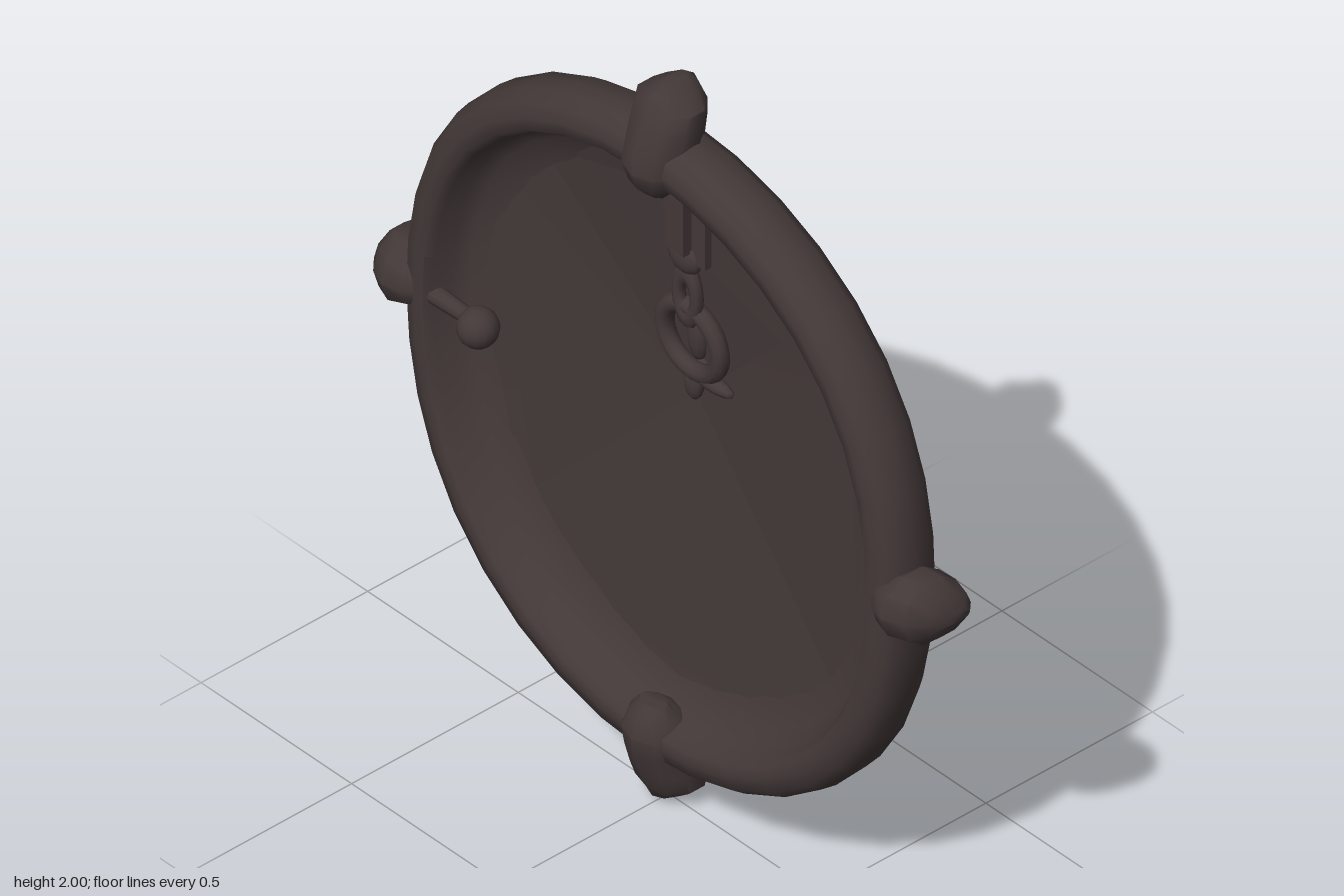
import * as THREE from 'three';
import { toCreasedNormals } from 'three/addons/utils/BufferGeometryUtils.js';

const iron = new THREE.MeshStandardMaterial({ color: 0x433838 });
iron.name = 'darkIron';
const ironSheet = new THREE.MeshStandardMaterial({ color: 0x433838, side: THREE.DoubleSide });
ironSheet.name = 'darkIronSheet';

const CY = 1.0; // height of the hatch centre

function add(parent, name, geometry, x = 0, y = 0, z = 0, material = iron) {
  const mesh = new THREE.Mesh(geometry, material);
  mesh.name = name;
  mesh.position.set(x, y, z);
  parent.add(mesh);
  return mesh;
}

// Frame with a soft back that runs into the panel, pulled in slightly at the sides
function rimGeometry() {
  const profile = [
    [0.80, -0.082], [0.835, -0.075], [0.857, -0.045], [0.862, 0], [0.855, 0.04], [0.835, 0.068],
    [0.80, 0.078], [0.77, 0.076], [0.755, 0.055], [0.742, 0.01], [0.715, -0.02], [0.65, -0.04],
    [0.70, -0.058], [0.75, -0.075], [0.80, -0.082],
  ].map(([r, h]) => new THREE.Vector2(r, h));
  const geo = new THREE.LatheGeometry(profile, 36);
  geo.rotateX(Math.PI / 2);
  const p = geo.attributes.position;
  for (let i = 0; i < p.count; i++) {
    const a = Math.atan2(p.getY(i), p.getX(i));
    const s = 1.012 - 0.055 * Math.pow(Math.abs(Math.cos(a)), 6) + 0.006 * Math.sin(3 * a + 0.6);
    p.setXY(i, p.getX(i) * s, p.getY(i) * s);
  }
  return toCreasedNormals(geo, 0.9);
}

// Dished sheet: facets meeting at a sunken point, then a border under the rim
function panelGeometry() {
  const outline = [
    [0.57, 0.38, -0.042], [0.45, 0.55, -0.042], [0.06, 0.70, -0.03], [-0.46, 0.53, -0.04], [-0.52, 0.36, -0.044],
    [-0.54, -0.2, -0.044], [-0.5, -0.45, -0.05], [-0.25, -0.66, -0.036], [0.25, -0.66, -0.036],
    [0.5, -0.45, -0.05], [0.57, -0.2, -0.044],
  ];
  const apex = [0, 0.08, -0.084];
  const verts = [];
  const flared = ([x, y]) => {
    const k = 0.79 / Math.hypot(x, y);
    return [x * k, y * k, -0.025];
  };
  outline.forEach((a, i) => {
    const b = outline[(i + 1) % outline.length];
    const c = flared(a), d = flared(b);
    verts.push(...apex, ...a, ...b, ...a, ...c, ...d, ...a, ...d, ...b);
  });
  const geo = new THREE.BufferGeometry();
  geo.setAttribute('position', new THREE.Float32BufferAttribute(verts, 3));
  return toCreasedNormals(geo, 0.04);
}

// Lug lofted outward along +y: [distance, half width, back z, front z]
function lugGeometry(rows) {
  const n = rows.length - 1;
  const geo = new THREE.CylinderGeometry(1, 1, 1, 10, n);
  const p = geo.attributes.position;
  for (let i = 0; i < p.count; i++) {
    const [d, w, back, front] = rows[Math.round((p.getY(i) + 0.5) * n)];
    p.setXYZ(i, p.getX(i) * w, d, (back + front) / 2 + p.getZ(i) * (front - back) / 2);
  }
  return toCreasedNormals(geo, 0.75);
}

export function createModel() {
  const model = new THREE.Group();
  model.name = 'roundHatch';

  add(model, 'rim', rimGeometry(), 0, CY, 0);
  add(model, 'dishedPanel', panelGeometry(), 0, CY, 0, ironSheet);

  // Long lugs above and below, shorter ones at the sides
  const longLug = lugGeometry([
    [0.715, 0.04, 0.02, 0.07], [0.745, 0.065, -0.02, 0.098], [0.79, 0.088, -0.06, 0.113],
    [0.84, 0.085, -0.08, 0.106], [0.90, 0.092, -0.083, 0.085], [0.945, 0.09, -0.083, 0.068],
    [0.98, 0.045, -0.076, 0.05], [1.0, 0.01, -0.05, 0.02],
  ]);
  const shortLug = lugGeometry([
    [0.75, 0.045, 0.0, 0.07], [0.785, 0.07, -0.05, 0.1], [0.83, 0.09, -0.08, 0.112],
    [0.88, 0.088, -0.083, 0.092], [0.915, 0.055, -0.08, 0.058], [0.94, 0.012, -0.055, 0.01],
  ]);
  ['topLug', 'rightLug', 'bottomLug', 'leftLug'].forEach((name, i) => {
    const side = i % 2;
    const mesh = add(model, name, side ? shortLug : longLug, 0, CY + (side ? 0.013 : 0), 0);
    mesh.rotation.z = i * Math.PI / 2;
  });

  // Latch arm with a ball end
  const latch = new THREE.Group();
  latch.name = 'latch';
  model.add(latch);
  const arm = add(latch, 'latchArm', new THREE.CylinderGeometry(0.018, 0.026, 0.2, 10), -0.675, 1.01, 0.045);
  arm.rotation.z = -Math.PI / 2;
  add(latch, 'latchBall', new THREE.SphereGeometry(0.05, 14, 10), -0.572, 1.01, 0.055);

  // Hanging clasp and pull ring
  const clasp = new THREE.Group();
  clasp.name = 'clasp';
  model.add(clasp);
  add(clasp, 'claspPlate', new THREE.BoxGeometry(0.13, 0.2, 0.02), 0.035, 1.61, -0.028);
  add(clasp, 'claspBar', new THREE.BoxGeometry(0.045, 0.15, 0.03), 0.033, 1.61, -0.008);
  add(clasp, 'claspLink', new THREE.TorusGeometry(0.03, 0.016, 8, 16), 0.03, 1.4, -0.03).scale.y = 2;
  add(clasp, 'knuckle', new THREE.SphereGeometry(1, 12, 8), 0.028, 1.51, -0.025).scale.set(0.052, 0.045, 0.024);
  const ring = add(clasp, 'pullRing', new THREE.TorusGeometry(0.092, 0.023, 10, 24), 0.03, 1.27, -0.044);
  ring.rotation.x = 0.06;

  // Small catch under the ring and the swelling behind it
  const lumps = [
    ['catchTongue', 0.09, 1.175, -0.05, 0.07, 0.02, 0.02],
    ['catchStem', 0.012, 1.13, -0.066, 0.028, 0.05, 0.02],
    ['rearSwelling', 0.02, 1.27, -0.073, 0.032, 0.08, 0.025],
    ['rearPin', 0.025, 1.17, -0.082, 0.03, 0.035, 0.03],
  ];
  for (const [name, x, y, z, sx, sy, sz] of lumps) {
    add(clasp, name, new THREE.SphereGeometry(1, 12, 8), x, y, z).scale.set(sx, sy, sz);
  }
  return model;
}
